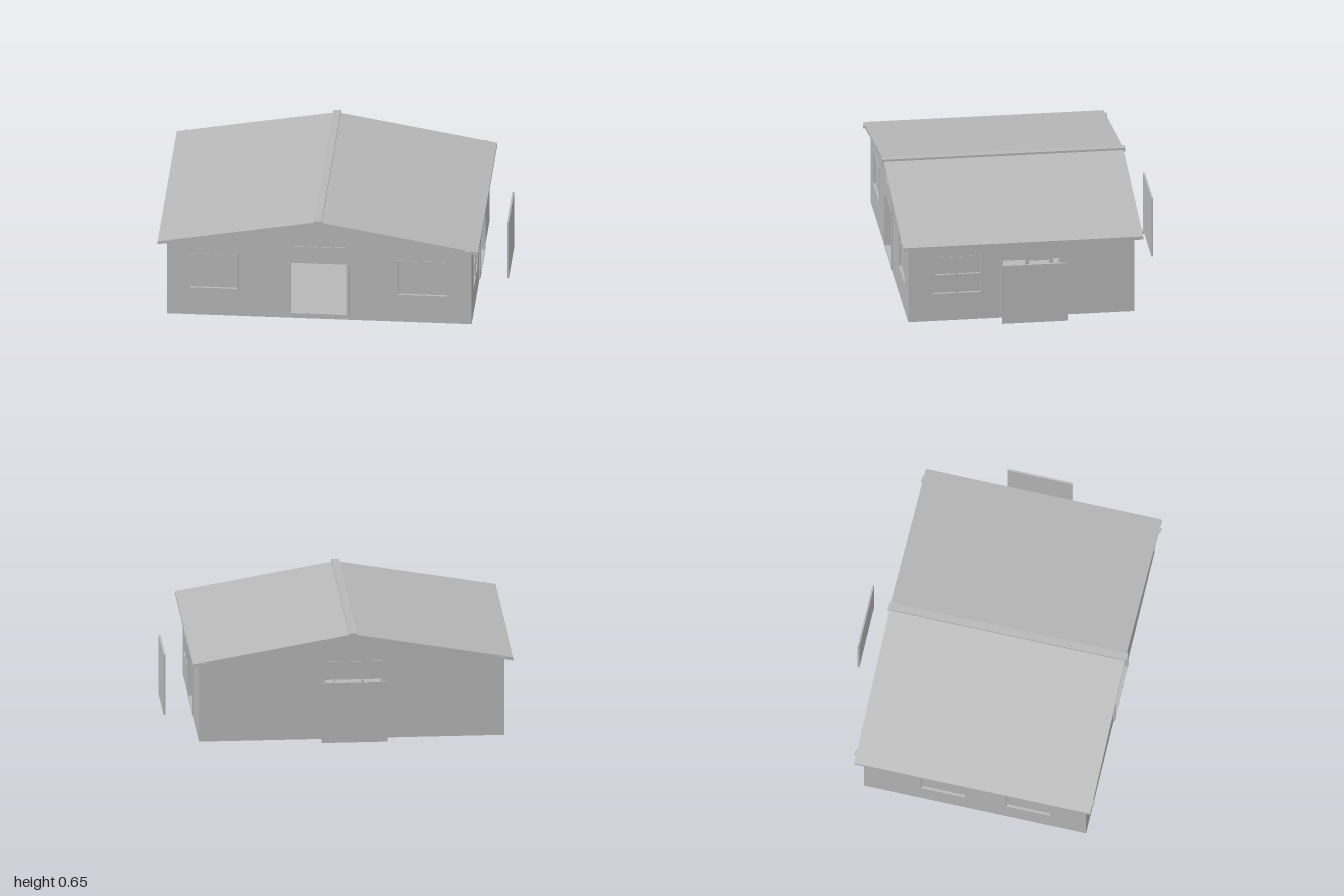
import * as THREE from 'three';

const grey = new THREE.MeshStandardMaterial({ color: 0xb8b8b8 });
grey.name = 'plain grey';

// Wall extents, floor height and roof line
const X0 = -0.95, X1 = 0.82, Z0 = -0.59, Z1 = 0.73, T = 0.03;
const FLOOR = 0.03, WALL_TOP = 0.473, RIDGE = -0.07, APEX = 0.623;

function add(parent, name, geometry) {
  const mesh = new THREE.Mesh(geometry, grey);
  mesh.name = name;
  parent.add(mesh);
  return mesh;
}

// Box given by its limits on each axis
function box(parent, name, x0, x1, y0, y1, z0, z1) {
  const mesh = add(parent, name, new THREE.BoxGeometry(x1 - x0, y1 - y0, z1 - z0));
  mesh.position.set((x0 + x1) / 2, (y0 + y1) / 2, (z0 + z1) / 2);
  return mesh;
}

const polygon = (points) => new THREE.Shape(points.map(([x, y]) => new THREE.Vector2(x, y)));
const rectangle = (a, b, c, d) => polygon([[a, c], [b, c], [b, d], [a, d]]);
const extrude = (shape, depth) => new THREE.ExtrudeGeometry(shape, { depth, bevelEnabled: false });

// Recessed window with a thin rim and optional cross bars
function addWindow(side, w) {
  const g = new THREE.Group();
  g.name = 'window';
  const [a, b, c, d] = w.rect, r = 0.008;
  const rim = rectangle(a, b, c, d);
  rim.holes.push(rectangle(a + r, b - r, c + r, d - r));
  add(g, 'windowFrame', extrude(rim, 0.018)).position.z = -0.015;
  box(g, 'windowPane', a, b, c, d, -0.02, -0.012);
  if (w.bars) {
    const u = (a + b) / 2, v = (c + d) / 2;
    box(g, 'uprightBar', u - 0.007, u + 0.007, c + r, d - r, -0.012, 0.002);
    box(g, 'crossBar', a + r, b - r, v - 0.007, v + 0.007, -0.012, 0.001);
  }
  side.add(g);
}

// Doorway trim: two posts, a sill and a panel overhead
function addDoorway(side, u) {
  const g = new THREE.Group();
  g.name = 'doorway';
  for (const s of [-1, 1]) {
    const c = u + s * 0.172;
    box(g, 'doorPost', c - 0.008, c + 0.008, 0.025, 0.36, -T - 0.005, 0.01);
  }
  box(g, 'doorSill', u - 0.164, u + 0.164, 0.024, 0.035, -T, 0.009);
  box(g, 'doorHeader', u - 0.172, u + 0.172, 0.36, 0.468, -T - 0.003, 0.005);
  side.add(g);
}

// One side of the house; its outer face lies on local z = 0
function addSide(house, name, outline, turn, x, z, door, windows) {
  const side = new THREE.Group();
  side.name = name;
  const shape = polygon(outline);
  if (door !== null) {
    shape.holes.push(rectangle(door - 0.17, door + 0.17, FLOOR + 0.001, 0.36));
    addDoorway(side, door);
  }
  for (const w of windows) {
    shape.holes.push(rectangle(...w.rect));
    addWindow(side, w);
  }
  add(side, 'wall', extrude(shape, T)).position.z = -T;
  side.rotation.y = turn;
  side.position.set(x, 0, z);
  house.add(side);
}

export function createModel() {
  const house = new THREE.Group();
  house.name = 'house';

  // Floor slab
  box(house, 'floor', X0, X1, 0, FLOOR, Z0, Z1);

  // Gabled front and back, plain left and right sides
  const gable = [[X0, 0], [X1, 0], [X1, WALL_TOP], [RIDGE, APEX], [X0, WALL_TOP]];
  const gableBack = gable.map(([x, y]) => [-x, y]).reverse();
  const flat = (a, b) => [[a, 0], [b, 0], [b, WALL_TOP], [a, WALL_TOP]];
  addSide(house, 'frontSide', gable, 0, 0, Z1, RIDGE, [
    { rect: [-0.823, -0.532, 0.168, 0.397] },
    { rect: [0.388, 0.684, 0.168, 0.397] },
  ]);
  addSide(house, 'backSide', gableBack, Math.PI, 0, Z0, -RIDGE, []);
  addSide(house, 'doorSide', flat(-Z1 + T, -Z0 - T), Math.PI / 2, X1, 0, -0.015, [
    { rect: [-0.593, -0.303, 0.163, 0.4], bars: true },
  ]);
  addSide(house, 'windowSide', flat(Z0 + T, Z1 - T), -Math.PI / 2, X0, 0, null, [
    { rect: [-0.255, 0.02, 0.165, 0.398] },
    { rect: [0.25, 0.525, 0.165, 0.398] },
  ]);

  // Two-slope roof with ridge cap and eave battens
  const roof = polygon([[-1, 0.465], [RIDGE, APEX], [0.86, 0.465],
    [0.86, 0.484], [RIDGE, 0.645], [-1, 0.484]]);
  add(house, 'roof', extrude(roof, 1.4)).position.z = -0.635;
  box(house, 'ridgeCap', RIDGE - 0.022, RIDGE + 0.022, 0.632, 0.654, -0.645, 0.775);
  for (const x of [-0.933, 0.793]) {
    box(house, 'eaveBatten', x - 0.014, x + 0.014, 0.477, 0.493, -0.645, 0.775);
  }

  // Tie beams and king posts under the roof
  for (const z of [0.69, 0.43, 0.16, -0.11, -0.39, -0.55]) {
    box(house, 'tieBeam', X0 - 0.02, X1 + 0.02, 0.457, 0.472, z - 0.01, z + 0.01);
    box(house, 'kingPost', RIDGE - 0.01, RIDGE + 0.01, 0.47, 0.625, z - 0.009, z + 0.009);
  }

  // Door leaves standing clear of the back and side doorways
  box(house, 'backDoor', -0.26, 0.125, 0.037, 0.4, -0.784, -0.774);
  box(house, 'sideDoor', 0.985, 0.996, 0.037, 0.4, -0.18, 0.205);

  // Long table with small wares on top
  const table = new THREE.Group();
  table.name = 'table';
  box(table, 'tableTop', -0.4, 0.3, 0.135, 0.15, -0.2, 0);
  box(table, 'tableApron', -0.38, 0.28, 0.115, 0.135, -0.18, -0.02);
  for (const x of [-0.37, 0.27]) for (const z of [-0.17, -0.03]) {
    box(table, 'tableLeg', x - 0.01, x + 0.01, FLOOR, 0.115, z - 0.01, z + 0.01);
  }
  for (let i = 0; i < 6; i++) {
    const h = 0.025 + 0.012 * ((i * 2) % 3);
    add(table, 'bottle', new THREE.CylinderGeometry(0.004, 0.01, h, 8))
      .position.set(-0.22 + i * 0.055, 0.15 + h / 2, -0.1 + 0.03 * (i % 2));
  }
  house.add(table);

  // Bell-shaped vessel near the side doorway
  const bell = [[0, 0], [0.03, 0], [0.026, 0.03], [0.01, 0.055], [0.006, 0.09], [0, 0.09]];
  add(house, 'vessel', new THREE.LatheGeometry(bell.map(([x, y]) => new THREE.Vector2(x, y)), 12))
    .position.set(0.6, FLOOR, 0.05);

  return house;
}
